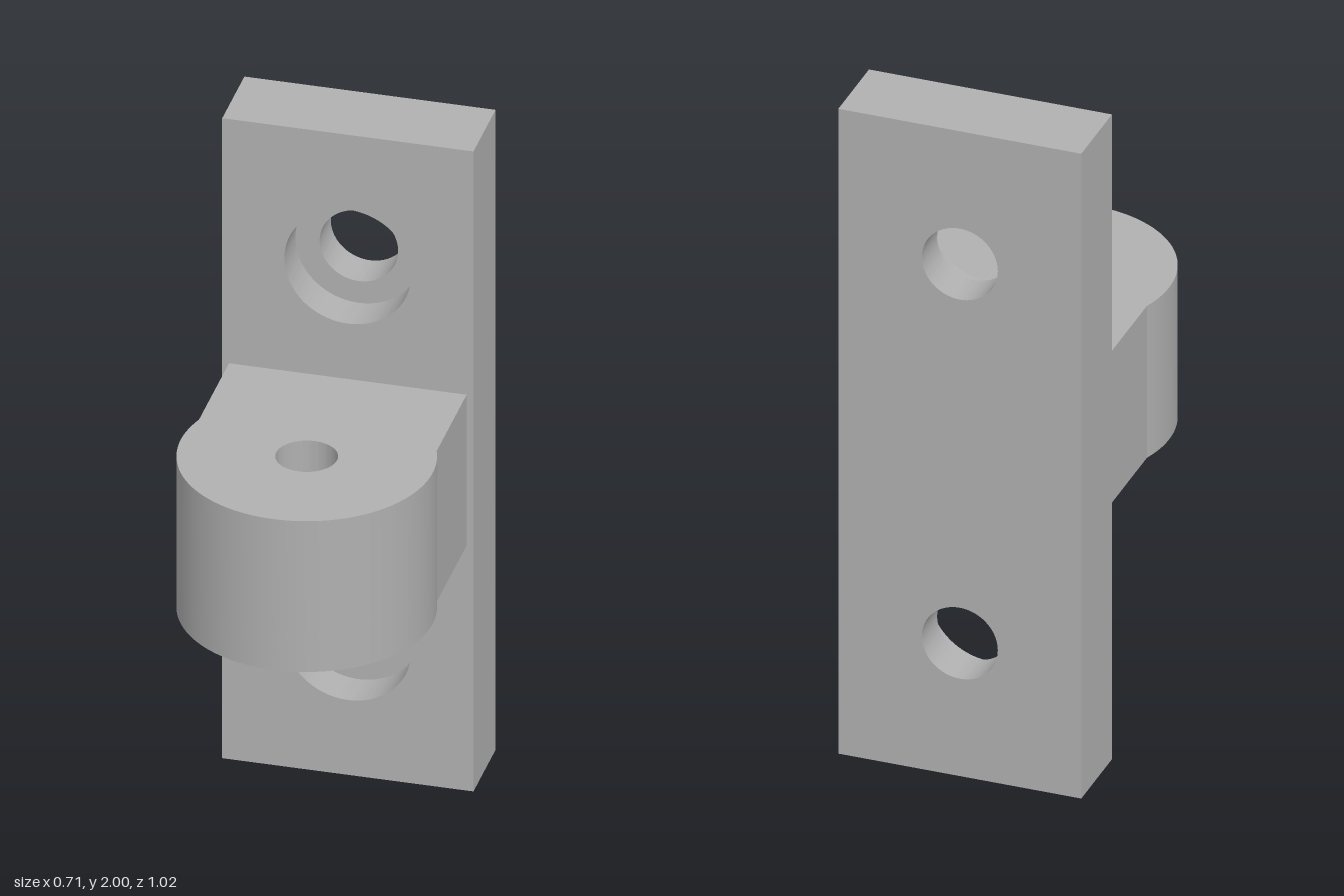
import * as THREE from 'three';
import { toCreasedNormals } from 'three/addons/utils/BufferGeometryUtils.js';

// Plate and lug dimensions
const HALF_W = 0.352, BACK = -0.511, FACE = -0.277;
const BORE_DEPTH = 0.117, SCREW_Y = [0.412, 1.588];
const LUG_BOTTOM = 0.766, LUG_TOP = 1.237, POCKET_DEPTH = 0.125;
const LUG_Z = 0.157, LUG_R = 0.353, NECK = 0.333, PIN_R = 0.085, HEX_R = 0.16;

const circle = (x, y, r) => new THREE.Path().absarc(x, y, r, 0, Math.PI * 2, true);

function extrude(shape, depth) {
  const g = new THREE.ExtrudeGeometry(shape, { depth, bevelEnabled: false, curveSegments: 64 });
  return toCreasedNormals(g, 0.25);
}

// Slab of the back plate with two screw holes of the given radius
function plateSlab(holeR, depth) {
  const s = new THREE.Shape();
  s.moveTo(-HALF_W, 0).lineTo(HALF_W, 0).lineTo(HALF_W, 2).lineTo(-HALF_W, 2).closePath();
  for (const y of SCREW_Y) s.holes.push(circle(0, y, holeR));
  return extrude(s, depth);
}

// Slab of the lug: straight neck ending in a round eye; shape y becomes world z
function lugSlab(hole, depth) {
  const a = Math.acos(NECK / LUG_R);
  const s = new THREE.Shape();
  s.moveTo(-NECK, FACE).lineTo(NECK, FACE);
  s.absarc(0, LUG_Z, LUG_R, -a, Math.PI + a, false);
  s.closePath();
  s.holes.push(hole);
  return extrude(s, depth).rotateX(Math.PI / 2);
}

export function createModel() {
  const model = new THREE.Group();
  model.name = 'hingeBracket';
  const grey = new THREE.MeshStandardMaterial({ color: 0xb0b0b0 });
  grey.name = 'grey';

  const add = (name, geometry, y, z) => {
    const mesh = new THREE.Mesh(geometry, grey);
    mesh.name = name;
    mesh.position.set(0, y, z);
    model.add(mesh);
  };

  // Back plate: narrow through holes behind, wide counterbores in front
  add('plateBack', plateSlab(0.11, FACE - BACK - BORE_DEPTH), 0, BACK);
  add('plateFront', plateSlab(0.178, BORE_DEPTH), 0, FACE - BORE_DEPTH);

  // Lug: pin hole above, hexagonal nut pocket below
  const hex = new THREE.Path();
  hex.setFromPoints(Array.from({ length: 6 }, (_, i) => {
    const t = -i * Math.PI / 3;
    return new THREE.Vector2(HEX_R * Math.cos(t), LUG_Z + HEX_R * Math.sin(t));
  }));
  hex.closePath();
  add('lugUpper', lugSlab(circle(0, LUG_Z, PIN_R), LUG_TOP - LUG_BOTTOM - POCKET_DEPTH), LUG_TOP, 0);
  add('lugLower', lugSlab(hex, POCKET_DEPTH), LUG_BOTTOM + POCKET_DEPTH, 0);

  return model;
}
